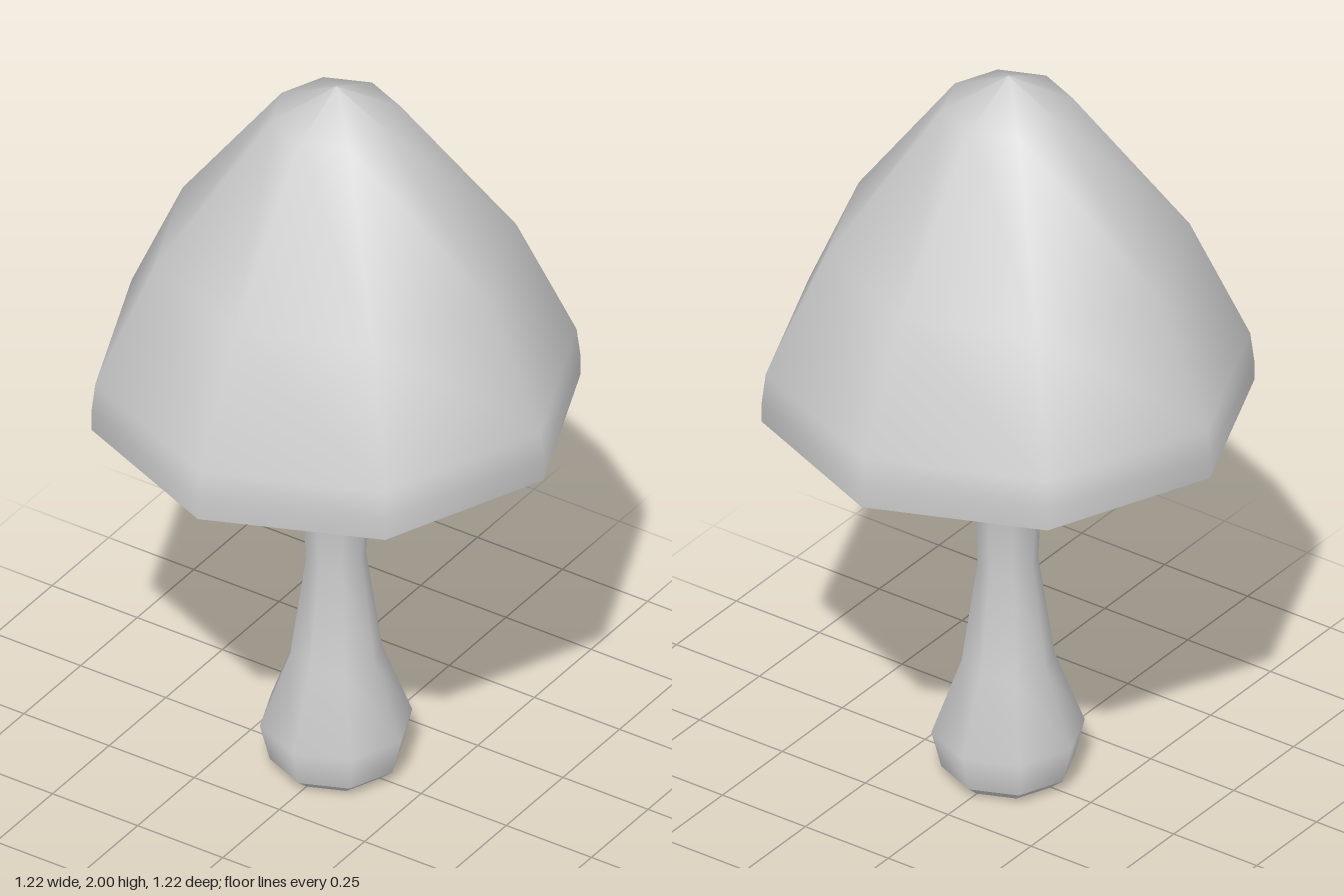
import * as THREE from 'three';

const SIDES = 8;

// Eight-sided turned surface from [radius, height] pairs; smooth within each piece.
function turned(name, profile, side = THREE.FrontSide) {
  const points = profile.map(([r, y]) => new THREE.Vector2(r, y));
  const material = new THREE.MeshStandardMaterial({ color: 0xcccccc, side });
  const mesh = new THREE.Mesh(new THREE.LatheGeometry(points, SIDES), material);
  mesh.name = name;
  return mesh;
}

export function createModel() {
  const mushroom = new THREE.Group();
  mushroom.name = 'mushroom';

  // Cap: bell-shaped dome with a short upright rim
  const cap = new THREE.Group();
  cap.name = 'cap';
  cap.add(
    turned('capDome', [[0.61, 1.065], [0.61, 1.12], [0.6, 1.2], [0.45, 1.53], [0.16, 1.92], [0, 2]]),
    // Flat lip, then a shallow hollow rising to the stem
    turned('capLip', [[0.5, 1.065], [0.61, 1.065]], THREE.DoubleSide),
    turned('capUnderside', [[0.23, 1.12], [0.5, 1.065]], THREE.DoubleSide),
  );

  // Stem: bulbous foot, narrow waist, flared neck; open at the bottom
  const stem = new THREE.Group();
  stem.name = 'stem';
  stem.add(
    turned('stemFoot', [[0.13, 0], [0.165, 0.03]], THREE.DoubleSide),
    turned('stemShaft', [
      [0.165, 0.03], [0.19, 0.13], [0.115, 0.33], [0.075, 0.61],
      [0.086, 0.84], [0.147, 1.065], [0.23, 1.12],
    ], THREE.DoubleSide),
  );

  mushroom.add(cap, stem);
  return mushroom;
}
